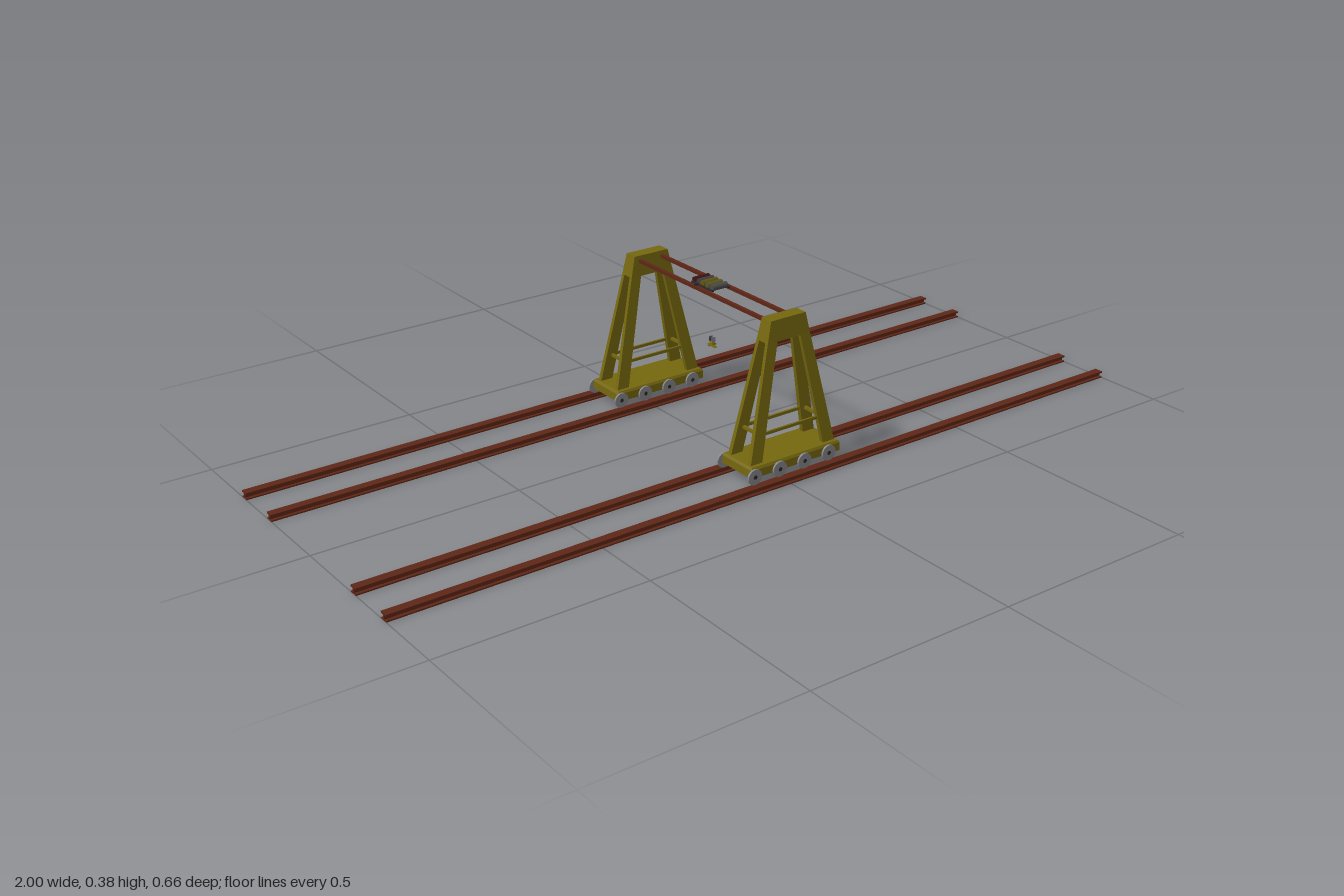
import * as THREE from 'three';

const material = (color) => new THREE.MeshStandardMaterial({ color, flatShading: true });
const olive = material(0x75670f);
const rust = material(0x5e2616);
const steel = material(0x85858a);
const dark = material(0x2a2a2c);

function add(parent, name, geometry, mat, x = 0, y = 0, z = 0) {
  const mesh = new THREE.Mesh(geometry, mat);
  mesh.name = name;
  mesh.position.set(x, y, z);
  parent.add(mesh);
  return mesh;
}

// Block between a lower and an upper rectangle, each [x0, x1, z0, z1]
function loft(y0, lower, y1, upper) {
  const geometry = new THREE.BoxGeometry(1, 1, 1);
  const p = geometry.attributes.position;
  for (let i = 0; i < p.count; i++) {
    const top = p.getY(i) > 0;
    const r = top ? upper : lower;
    p.setXYZ(i, p.getX(i) > 0 ? r[1] : r[0], top ? y1 : y0, p.getZ(i) > 0 ? r[3] : r[2]);
  }
  geometry.computeVertexNormals();
  return geometry;
}

const box = (x, y, z) => new THREE.BoxGeometry(x, y, z);

// I-section running rail along x
function rail(z) {
  const group = new THREE.Group();
  group.name = 'rail';
  add(group, 'railHead', box(2, 0.004, 0.021), rust, 0, 0.0145, z);
  add(group, 'railWeb', box(2, 0.011, 0.005), rust, 0, 0.008, z);
  add(group, 'railFoot', box(2, 0.003, 0.021), rust, 0, 0.0015, z);
  return group;
}

// Four-legged tower on a wheeled bogie, built around its own centre
function tower() {
  const group = new THREE.Group();
  group.name = 'tower';

  // Bogie body with a slightly chamfered upper edge
  add(group, 'bogieBody', box(0.252, 0.019, 0.106), olive, 0, 0.0395, 0);
  add(group, 'bogieTop', loft(0.049, [-0.126, 0.126, -0.053, 0.053],
    0.055, [-0.122, 0.122, -0.050, 0.050]), olive);

  // Splayed legs, mirrored to all four corners
  for (const sx of [-1, 1]) {
    for (const sz of [-1, 1]) {
      const rect = (xo, xi, zo, zi) => [
        Math.min(sx * xo, sx * xi), Math.max(sx * xo, sx * xi),
        Math.min(sz * zo, sz * zi), Math.max(sz * zo, sz * zi)];
      add(group, 'leg', loft(0.054, rect(0.119, 0.087, 0.041, 0.030),
        0.322, rect(0.059, 0.032, 0.0195, 0.0105)), olive);
    }
  }

  // Cap block
  add(group, 'cap', loft(0.321, [-0.059, 0.059, -0.0195, 0.0195],
    0.371, [-0.048, 0.048, -0.0165, 0.0165]), olive);

  // Horizontal braces between the legs
  for (const s of [-1, 1]) {
    add(group, 'longBrace', box(0.172, 0.007, 0.005), olive, 0, 0.1175, s * 0.031);
    add(group, 'crossBrace', box(0.006, 0.007, 0.056), olive, s * 0.088, 0.1175, 0);
  }

  // Wheels along both sides of the bogie
  for (const s of [-1, 1]) {
    for (let i = 0; i < 4; i++) {
      const x = -0.119 + i * 0.07;
      const wheel = add(group, 'wheel', new THREE.CylinderGeometry(0.0185, 0.0185, 0.005, 24),
        steel, x, 0.0345, s * 0.0555);
      wheel.rotation.x = Math.PI / 2;
      const axle = add(group, 'axle', new THREE.CylinderGeometry(0.005, 0.005, 0.008, 12),
        dark, x, 0.0345, s * 0.0545);
      axle.rotation.x = Math.PI / 2;
    }
  }
  return group;
}

// Row of drums and motors carried by the bridge
function trolley() {
  const group = new THREE.Group();
  group.name = 'trolley';
  const drums = [[0.027, 0x4a4a46], [0.009, 0x5c5424], [-0.009, 0x5f5510], [-0.023, 0x3d3d44], [-0.039, 0x3f1212]];
  for (const [z, color] of drums) {
    const drum = add(group, 'drum', new THREE.CylinderGeometry(0.0075, 0.0075, 0.042, 16),
      material(color), 0.028, 0.3685, z);
    drum.rotation.z = Math.PI / 2;
  }
  for (const x of [0.006, 0.05]) add(group, 'sideFrame', box(0.005, 0.004, 0.08), dark, x, 0.363, -0.006);
  add(group, 'crossAxle', box(0.066, 0.004, 0.006), dark, 0.03, 0.364, -0.023);
  return group;
}

// Hanging hook block with a two-armed foot
function hookBlock() {
  const group = new THREE.Group();
  group.name = 'hookBlock';
  for (const s of [-1, 1]) add(group, 'cheekPlate', box(0.010, 0.013, 0.0015), steel, 0, 0.2305, s * 0.006);
  const sheave = add(group, 'sheave', new THREE.CylinderGeometry(0.005, 0.005, 0.012, 12), dark, 0, 0.2305, 0);
  sheave.rotation.x = Math.PI / 2;
  add(group, 'shank', loft(0.217, [-0.004, 0.004, -0.007, 0.007],
    0.225, [-0.002, 0.002, -0.005, 0.005]), olive);
  const arms = new THREE.CatmullRomCurve3([
    new THREE.Vector3(-0.011, 0.2155, 0), new THREE.Vector3(-0.005, 0.219, 0),
    new THREE.Vector3(0, 0.221, 0), new THREE.Vector3(0.005, 0.219, 0), new THREE.Vector3(0.011, 0.2155, 0)]);
  add(group, 'hookArms', new THREE.TubeGeometry(arms, 12, 0.002, 6), olive);
  add(group, 'hookFoot', loft(0.2135, [-0.004, 0.004, -0.016, 0.016],
    0.2175, [-0.003, 0.003, -0.010, 0.010]), olive);
  group.position.x = 0.029;
  return group;
}

export function createModel() {
  const model = new THREE.Group();
  model.name = 'gantryCrane';

  for (const z of [-0.3215, -0.1945, 0.1945, 0.3215]) model.add(rail(z));

  for (const z of [-0.2595, 0.257]) {
    const t = tower();
    t.position.set(0.031, 0, z);
    model.add(t);
  }

  // Twin bridge beams
  for (const x of [-0.001, 0.061]) add(model, 'bridgeBeam', box(0.008, 0.008, 0.5), rust, x, 0.358, 0);

  model.add(trolley(), hookBlock());
  return model;
}
